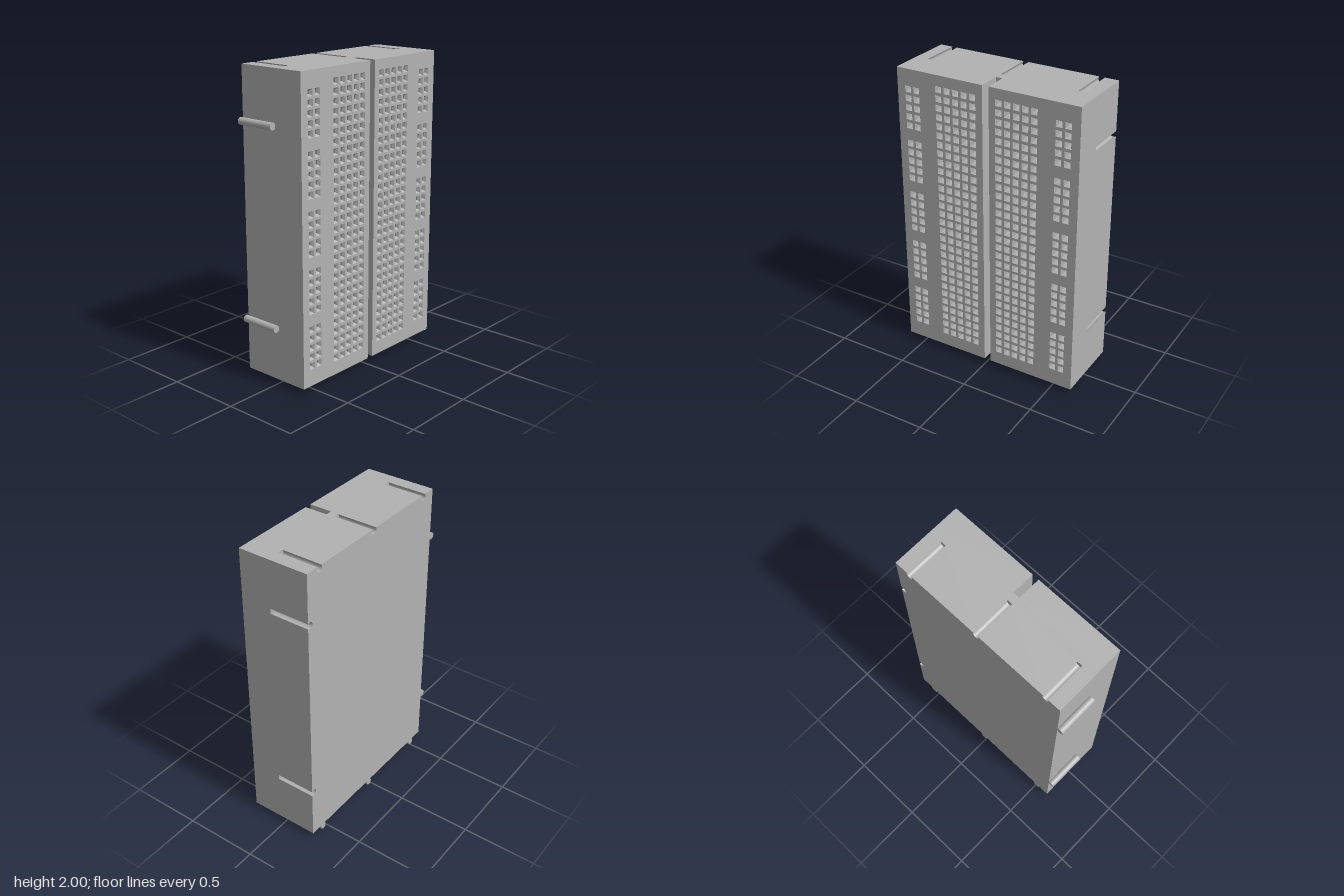
import * as THREE from 'three';
import { mergeGeometries } from 'three/addons/utils/BufferGeometryUtils.js';

const plastic = new THREE.MeshStandardMaterial({ color: 0xb2b2b2 });
plastic.name = 'grey plastic';

// Overall body limits and joint sizes
const X0 = -0.61, X1 = 0.65, Y0 = 0.043, Y1 = 2, BACK = -0.24, FRONT = 0.24;
const SLOT_END = 0.03, GROOVE_FLOOR = 0.085, GROOVE = [0, 0.045];
const R = 0.0235, INSET = 0.016;
const JOINT_X = [-0.505, 0.02, 0.54], JOINT_Y = [0.39, 1.66];
const PITCH = 0.0605, HOLE = 0.0215;

function addMesh(group, name, geometry) {
  const mesh = new THREE.Mesh(geometry, plastic);
  mesh.name = name;
  group.add(mesh);
  return mesh;
}

function box(x0, x1, y0, y1, z0, z1) {
  return new THREE.BoxGeometry(x1 - x0, y1 - y0, z1 - z0)
    .translate((x0 + x1) / 2, (y0 + y1) / 2, (z0 + z1) / 2);
}

// Back slab with round keyhole slots along its right and top edges
function slottedSlab() {
  const a = Math.acos(INSET / R);
  const s = new THREE.Shape();
  s.moveTo(X0, Y0);
  s.lineTo(X1, Y0);
  for (const y of JOINT_Y) s.absarc(X1 - INSET, y, R, -a, a, true);
  s.lineTo(X1, Y1);
  for (const x of [...JOINT_X].reverse()) {
    s.absarc(x, Y1 - INSET, R, Math.PI / 2 - a, Math.PI / 2 + a, true);
  }
  s.lineTo(X0, Y1);
  s.closePath();
  return new THREE.ExtrudeGeometry(s, { depth: SLOT_END - BACK, bevelEnabled: false, curveSegments: 16 })
    .translate(0, 0, BACK);
}

// Square contact socket: sloped mouth, straight throat, flat floor
function socketGeometry() {
  const k = Math.SQRT2, throat = HOLE * 0.52;
  const profile = [[0, -0.1], [throat * k, -0.1], [throat * k, -0.018], [HOLE * k, 0]]
    .map(([r, y]) => new THREE.Vector2(r, y));
  const g = new THREE.LatheGeometry(profile, 4).rotateY(Math.PI / 4).rotateX(Math.PI / 2).toNonIndexed();
  // Turn the faces so that the inside shows
  const p = g.attributes.position;
  const v = new THREE.Vector3(), w = new THREE.Vector3(), n = new THREE.Vector3(), c = new THREE.Vector3();
  for (let i = 0; i < p.count; i += 3) {
    v.fromBufferAttribute(p, i);
    w.fromBufferAttribute(p, i + 1);
    c.fromBufferAttribute(p, i + 2);
    n.crossVectors(w.clone().sub(v), c.clone().sub(v));
    const mid = v.clone().add(w).add(c).divideScalar(3);
    if (n.dot(new THREE.Vector3(0, 0, 0.02).sub(mid)) < 0) {
      p.setXYZ(i + 1, c.x, c.y, c.z);
      p.setXYZ(i + 2, w.x, w.y, w.z);
    }
  }
  g.computeVertexNormals();
  return g;
}

// Hole centres for one half: five full columns and two power rail columns
function holeCentres(mainX, railX) {
  const list = [];
  for (let row = 0; row < 30; row++) {
    for (let col = 0; col < 5; col++) list.push([mainX + col * PITCH, 0.156 + row * PITCH]);
  }
  for (let bank = 0; bank < 5; bank++) {
    for (let row = 0; row < 5; row++) {
      for (let col = 0; col < 2; col++) {
        list.push([railX + col * PITCH, 1.87 - (bank * 6 + row) * PITCH]);
      }
    }
  }
  return list;
}

// Front half block: open box, perforated face and sockets
function addHalf(group, name, x0, x1, centres) {
  const half = new THREE.Group();
  half.name = name;
  group.add(half);

  const shell = box(x0, x1, Y0, Y1, GROOVE_FLOOR, FRONT);
  shell.setIndex([...shell.index.array].filter((_, i) => i < 24 || i > 29));
  shell.clearGroups();
  addMesh(half, name + 'Walls', shell);

  const face = new THREE.Shape([[x0, Y0], [x1, Y0], [x1, Y1], [x0, Y1]].map(p => new THREE.Vector2(...p)));
  for (const [x, y] of centres) {
    face.holes.push(new THREE.Path([[-1, -1], [-1, 1], [1, 1], [1, -1]]
      .map(([i, j]) => new THREE.Vector2(x + i * HOLE, y + j * HOLE))));
  }
  addMesh(half, name + 'Face', new THREE.ShapeGeometry(face).translate(0, 0, FRONT));

  const socket = socketGeometry();
  addMesh(half, name + 'Sockets',
    mergeGeometries(centres.map(([x, y]) => socket.clone().translate(x, y, FRONT))));
}

export function createModel() {
  const model = new THREE.Group();
  model.name = 'solderlessBoard';

  addMesh(model, 'backSlab', slottedSlab());
  addMesh(model, 'middleSlab', box(X0, X1, Y0, Y1, SLOT_END, GROOVE_FLOOR));
  addHalf(model, 'rightHalf', X0, GROOVE[0], holeCentres(-0.311, -0.533));
  addHalf(model, 'leftHalf', GROOVE[1], X1, holeCentres(0.11, 0.512));

  // Round joining pegs on the bottom and the right side
  const peg = new THREE.CylinderGeometry(R, R, SLOT_END - BACK, 24).rotateX(Math.PI / 2);
  const pegZ = (SLOT_END + BACK) / 2;
  for (const x of JOINT_X) addMesh(model, 'bottomPeg', peg).position.set(x, R, pegZ);
  for (const y of JOINT_Y) addMesh(model, 'sidePeg', peg).position.set(X0 - 0.0185, y, pegZ);
  return model;
}
